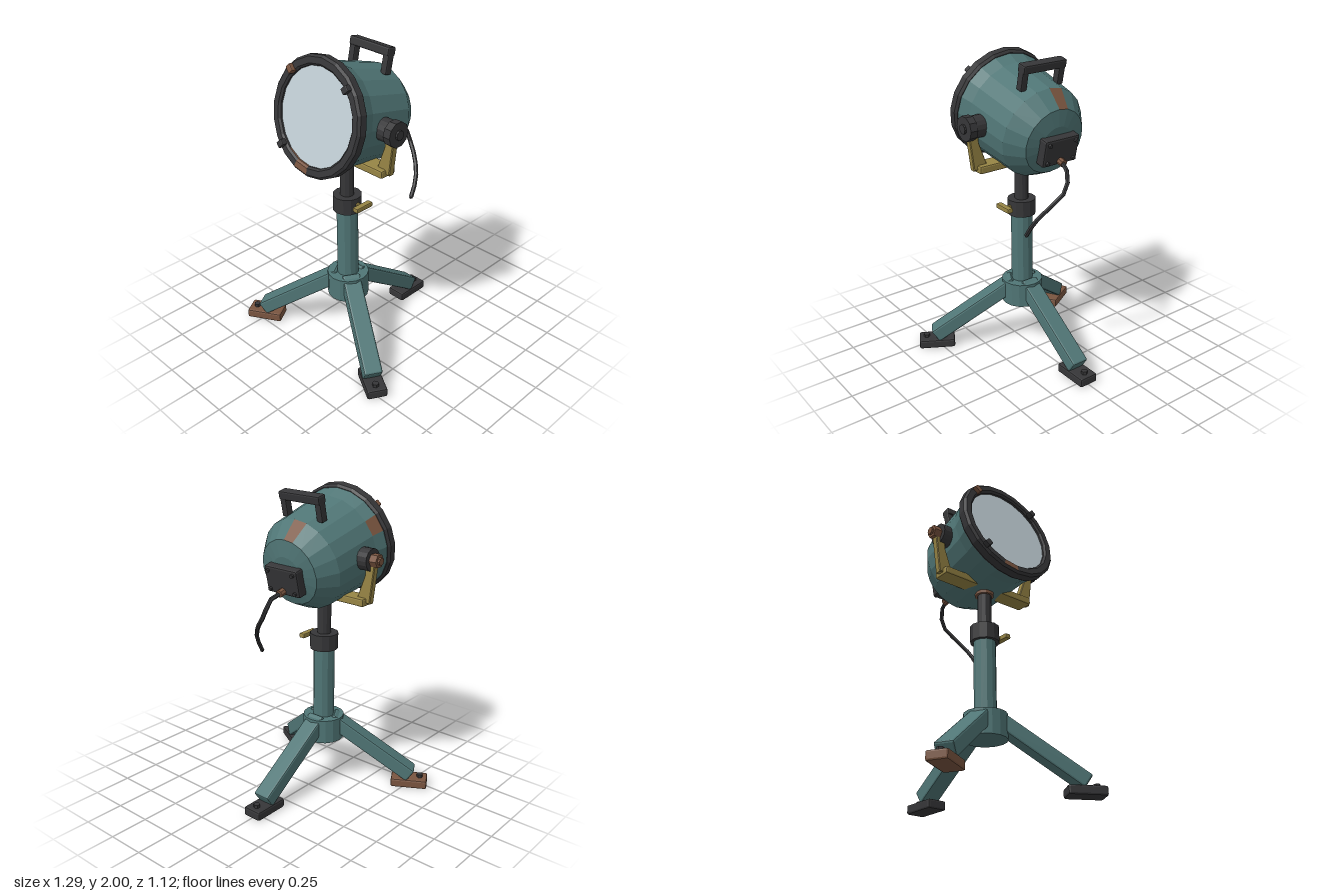
import * as THREE from 'three';
import { RoundedBoxGeometry } from 'three/addons/geometries/RoundedBoxGeometry.js';

const mat = (name, color) => Object.assign(new THREE.MeshStandardMaterial({ color }), { name });

export function createModel() {
  const teal = mat('tealPaint', 0x507676);
  const dark = mat('darkMetal', 0x363638);
  const brass = mat('brass', 0x978545);
  const rust = mat('rust', 0x7a5540);
  const glass = mat('glass', 0xc2d0d6);

  const root = new THREE.Group();
  root.name = 'floodlight';

  // Faceted normals
  const flat = (geo) => {
    const g = geo.index ? geo.toNonIndexed() : geo;
    g.computeVertexNormals();
    return g;
  };
  const add = (parent, name, geo, material, x = 0, y = 0, z = 0) => {
    const m = new THREE.Mesh(flat(geo), material);
    m.name = name;
    m.position.set(x, y, z);
    parent.add(m);
    return m;
  };
  const box = (w, h, d, bevel = 0.01) => new RoundedBoxGeometry(w, h, d, 1, bevel);
  const cyl = (r, h, sides) => new THREE.CylinderGeometry(r, r, h, sides);

  // Lathe about the z axis; profile is [radius, z]; patches are [segment, band] painted with material 1
  const SIDES = 20;
  const lathe = (profile, patches) => {
    const geo = new THREE.LatheGeometry(profile.map(([r, w]) => new THREE.Vector2(r, w)), SIDES);
    geo.rotateX(Math.PI / 2);
    const bands = profile.length - 1;
    for (let i = 0; i < SIDES; i++) {
      for (let j = 0; j < bands; j++) {
        const painted = patches.some(([a, b]) => a === i && b === j);
        geo.addGroup((i * bands + j) * 6, 6, painted ? 1 : 0);
      }
    }
    return geo;
  };

  // ---- Stand ----
  const stand = new THREE.Group();
  stand.name = 'stand';
  stand.position.z = 0.155;
  root.add(stand);
  add(stand, 'hub', cyl(0.135, 0.16, 16), teal, 0, 0.4, 0);
  add(stand, 'lowerPost', cyl(0.07, 0.56, 12), teal, 0, 0.69, 0);
  add(stand, 'upperPost', cyl(0.045, 0.3, 12), dark, 0, 1.17, 0);
  add(stand, 'clampCollar', cyl(0.092, 0.105, 12), dark, 0, 1.005, 0);
  add(stand, 'leverStem', cyl(0.013, 0.06, 8).rotateZ(Math.PI / 2), brass, 0.105, 1.015, 0);
  add(stand, 'leverPaddle', box(0.04, 0.032, 0.135, 0.007), brass, 0.136, 1.017, 0);
  add(stand, 'swivelCollar', cyl(0.06, 0.035, 12), rust, 0, 1.295, 0);

  // Three legs with feet
  [[Math.PI, dark], [Math.PI / 3, dark], [-Math.PI / 3, rust]].forEach(([angle, footMat]) => {
    const leg = new THREE.Group();
    leg.name = 'leg';
    leg.rotation.y = angle;
    stand.add(leg);
    const beam = add(leg, 'legBeam', box(0.118, 0.095, 0.665, 0.012), teal, 0, 0.272, 0.325);
    beam.rotation.x = Math.atan2(0.375, 0.55);
    add(leg, 'foot', box(0.13, 0.06, 0.24, 0.012), footMat, 0, 0.031, 0.59);
    add(leg, 'footBolt', cyl(0.021, 0.024, 6), dark, 0, 0.07, 0.66);
  });

  // ---- Yoke ----
  const yoke = new THREE.Group();
  yoke.name = 'yoke';
  yoke.position.z = 0.155;
  root.add(yoke);
  add(yoke, 'yokeBar', box(0.69, 0.05, 0.115), brass, 0, 1.334, 0);
  for (const s of [1, -1]) {
    const pts = [[0.275, 1.34], [0.365, 1.33], [0.4, 1.6], [0.34, 1.6], [0.335, 1.5]]
      .map(([x, y]) => new THREE.Vector2(s * x, y));
    const arm = new THREE.ExtrudeGeometry(new THREE.Shape(pts), {
      depth: 0.034, bevelEnabled: true, bevelSize: 0.005, bevelThickness: 0.005, bevelSegments: 1,
    });
    add(yoke, 'yokeArm', arm, brass, 0, 0, -0.017);
  }

  // Pivot hardware: knob on one side, worn nut on the other
  const pivotPart = (name, r, x0, x1, sides, material) =>
    add(yoke, name, cyl(r, Math.abs(x1 - x0), sides).rotateZ(Math.PI / 2), material, (x0 + x1) / 2, 1.6, 0);
  for (const s of [1, -1]) pivotPart('pivotWasher', 0.07, s * 0.29, s * 0.372, 16, dark);
  pivotPart('tiltKnob', 0.079, 0.37, 0.42, 10, dark);
  pivotPart('tiltKnobCap', 0.03, 0.41, 0.433, 10, dark);
  pivotPart('pivotNut', 0.043, -0.37, -0.422, 6, rust);
  pivotPart('pivotBoltEnd', 0.024, -0.41, -0.436, 8, rust);

  // ---- Lamp head, tilted upward ----
  const lamp = new THREE.Group();
  lamp.name = 'lampHead';
  lamp.position.set(0, 1.6, 0.155);
  lamp.rotation.x = -0.215;
  root.add(lamp);

  const housing = [[0, -0.368], [0.11, -0.366], [0.212, -0.342], [0.296, -0.225], [0.318, 0.11], [0.345, 0.2]];
  add(lamp, 'housing', lathe(housing, [[10, 2], [13, 4]]), [teal, rust]);
  const rim = [[0.3, 0.19], [0.346, 0.19], [0.36, 0.205], [0.36, 0.25], [0.346, 0.264],
    [0.308, 0.264], [0.296, 0.252], [0.296, 0.2]];
  add(lamp, 'frontRim', lathe(rim, [[19, 4], [19, 5], [19, 6], [18, 6]]), [dark, rust]);
  add(lamp, 'lens', new THREE.CircleGeometry(0.3, 40), glass, 0, 0, 0.24);

  // Rim clips
  [[-1, 1, rust], [1, 1, dark], [-1, -1, dark]].forEach(([sx, sy, material]) => {
    const clip = add(lamp, 'rimClip', box(0.05, 0.04, 0.045, 0.006), material, sx * 0.227, sy * 0.227, 0.267);
    clip.rotation.z = sx * sy * Math.PI / 4;
  });

  // Carry handle
  add(lamp, 'handleBar', box(0.315, 0.055, 0.066), dark, 0, 0.402, -0.135);
  for (const s of [1, -1]) {
    add(lamp, 'handlePost', box(0.045, 0.14, 0.05, 0.008), dark, s * 0.135, 0.335, -0.135);
  }

  // Rear junction box with screws and cable gland
  add(lamp, 'junctionBox', box(0.255, 0.175, 0.07, 0.012), dark, 0, -0.03, -0.383);
  for (const sx of [1, -1]) {
    for (const sy of [1, -1]) {
      add(lamp, 'boxScrew', cyl(0.013, 0.02, 6).rotateX(Math.PI / 2), dark, sx * 0.097, -0.03 + sy * 0.06, -0.422);
    }
  }
  add(lamp, 'cableGland', cyl(0.024, 0.05, 8).rotateX(Math.PI / 2), rust, 0, -0.092, -0.432);

  // Hanging cable
  const cablePoints = [[0, 1.415, -0.255], [0.02, 1.385, -0.325], [0.05, 1.285, -0.355],
    [0.14, 1.18, -0.315], [0.205, 1.08, -0.255], [0.222, 0.98, -0.195]].map((p) => new THREE.Vector3(...p));
  const cable = new THREE.TubeGeometry(new THREE.CatmullRomCurve3(cablePoints), 8, 0.014, 6);
  add(root, 'cable', cable, dark);
  const end = add(root, 'cableEnd', new THREE.SphereGeometry(0.014, 6, 4), dark);
  end.position.copy(cablePoints[5]);

  return root;
}
